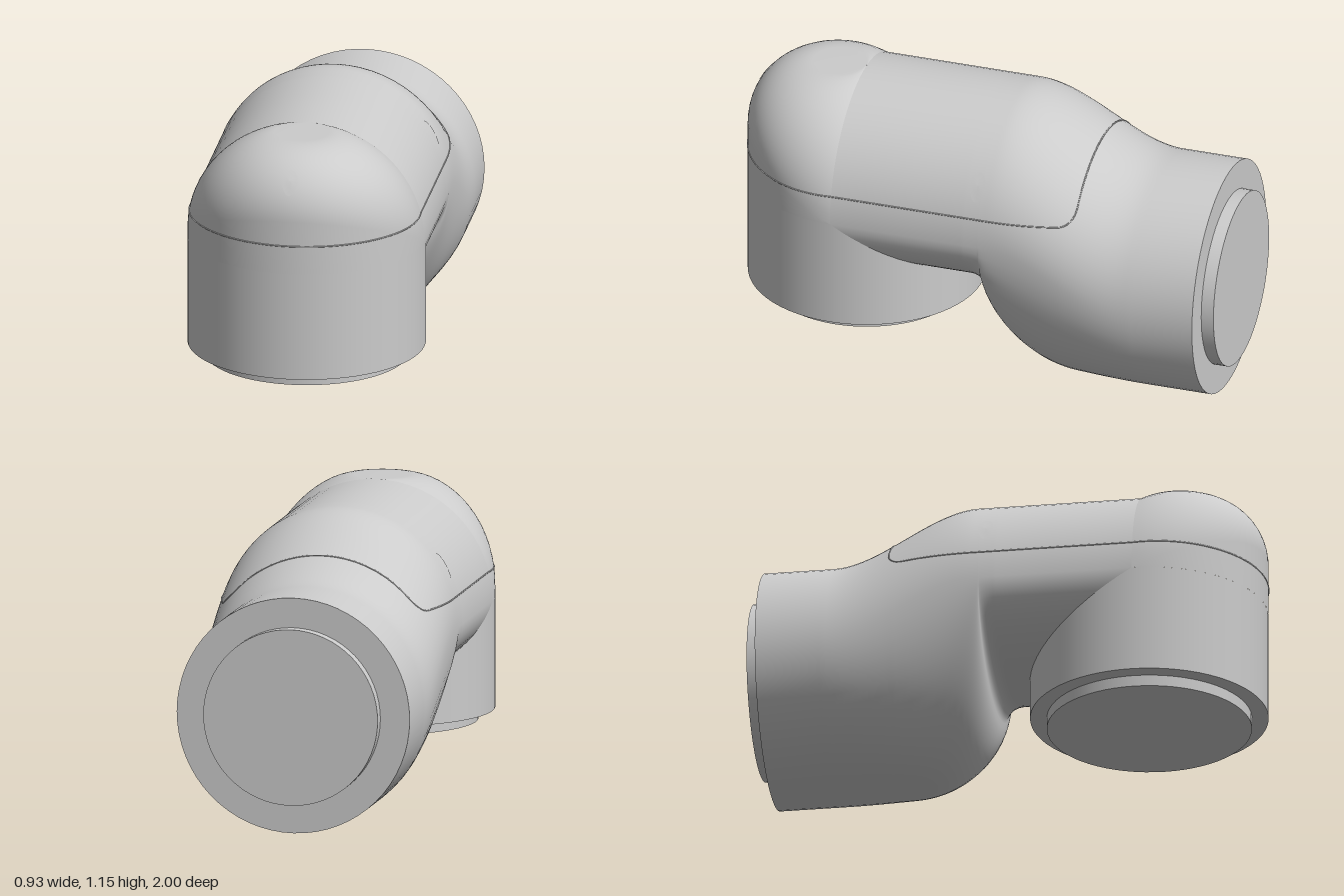
import * as THREE from 'three';

const R = 0.465;          // main pipe radius
const CZ = 0.535;         // axis of the vertical socket
const TOP = 1.15;
const material = new THREE.MeshStandardMaterial({ color: 0xcccccc });

// Side outline of the horizontal pipe
const midY = z => R + (TOP - 2 * R) * THREE.MathUtils.smoothstep(z, -0.68, -0.1);
function bottomY(z) {
  if (z <= -0.4) return 0;
  if (z <= -0.07) return 0.33 - Math.sqrt(Math.max(0, 0.33 ** 2 - (z + 0.4) ** 2));
  return z < 0 ? 0.33 + 0.08 * Math.sqrt(Math.max(0, 1 - (z / 0.07) ** 2)) : 0.41;
}

// Rounding of the front dome: wide at the sides, tighter at the nose
const domeRadius = a => THREE.MathUtils.lerp(R, 0.25, Math.abs(Math.sin(a)));

// Height of the upper surface above a plan position
function surfaceY(x, z) {
  if (z <= CZ) return midY(z) + Math.sqrt(Math.max(0, R * R - x * x));
  const f = domeRadius(Math.atan2(z - CZ, x));
  const d = Math.max(0, Math.hypot(x, z - CZ) - R + f);
  return TOP - f + Math.sqrt(Math.max(0, f * f - d * d));
}

// Smooth surface through rows of points
function grid(rows, wrap = false) {
  const n = rows[0].length, index = [];
  for (let i = 0; i < rows.length - 1; i++)
    for (let j = 0; j < (wrap ? n : n - 1); j++) {
      const k = (j + 1) % n;
      const a = i * n + j, b = i * n + k, c = a + n, d = b + n;
      index.push(a, b, c, b, d, c);
    }
  const g = new THREE.BufferGeometry();
  g.setAttribute('position', new THREE.Float32BufferAttribute(rows.flat(2), 3));
  g.setIndex(index);
  g.computeVertexNormals();
  return g;
}

const range = (n, f) => Array.from({ length: n + 1 }, (_, i) => f(i / n));

export function createModel() {
  const group = new THREE.Group();
  const add = (name, geometry, x = 0, y = 0, z = 0) => {
    const mesh = new THREE.Mesh(geometry, material);
    mesh.name = name;
    mesh.position.set(x, y, z);
    group.add(mesh);
    return mesh;
  };

  // Horizontal pipe, rising into the hood over a notched underside
  const stations = [
    -0.95,
    ...range(10, t => -0.7 + 0.28 * t),
    ...range(20, t => -0.4 + 0.33 * Math.sin(t * Math.PI / 2)),
    ...range(8, t => -0.07 * Math.cos(t * Math.PI / 2)).slice(1),
    0.2, 0.4, CZ
  ];
  const N = 64;
  add('horizontalPipe', grid(stations.map(z => {
    const m = midY(z), low = m - bottomY(z);
    return range(N - 1, t => {
      const a = t * (N - 1) / N * Math.PI * 2, s = Math.sin(a);
      return [R * Math.cos(a), m + s * (s > 0 ? R : low), z];
    });
  }), true));

  // Rounded front of the hood
  const domeRows = [0, ...range(16, t => t), 2].map((t, i) => range(48, u => {
    const a = u * Math.PI, f = domeRadius(a);
    let r = R, y = TOP - R;
    if (i === 0) { r = 0; y = TOP; }
    else if (t <= 1) {
      r = R - f + f * Math.sin(t * Math.PI / 2);
      y = TOP - f + f * Math.cos(t * Math.PI / 2);
    }
    return [r * Math.cos(a), y, CZ + r * Math.sin(a)];
  }));
  add('hoodFront', grid(domeRows));

  // Vertical socket and its recessed plug
  const socketHeight = TOP - R - 0.25;
  add('verticalSocket', new THREE.CylinderGeometry(R, R, socketHeight, 64), 0, 0.25 + socketHeight / 2, CZ);
  add('bottomPlug', new THREE.CylinderGeometry(0.4, 0.4, 0.06, 64), 0, 0.235, CZ);

  // Rear face and plug
  add('rearFace', new THREE.CircleGeometry(R, 64), 0, R, -0.95).rotation.y = Math.PI;
  add('rearPlug', new THREE.CylinderGeometry(0.348, 0.348, 0.06, 64), 0, R, -0.97).rotation.x = Math.PI / 2;

  // Flush screw covers that follow the hood
  for (const [name, x, z] of [['frontScrew', 0, 0.95], ['leftScrew', 0.4, -0.05], ['rightScrew', -0.4, -0.05]])
    add(name, grid([0, 0.015, 0.03].map(r => range(24, t => {
      const px = x + r * Math.cos(t * Math.PI * 2), pz = z + r * Math.sin(t * Math.PI * 2);
      return [px, surfaceY(px, pz) + 0.003, pz];
    }))));

  // Fine parting line around the hood cover
  const half = [];
  const sidePoint = (y, z) => half.push(new THREE.Vector3(Math.sqrt(R * R - (y - midY(z)) ** 2), y, z));
  for (let i = 0; i < 8; i++) {
    const x = i * 0.04;
    half.push(new THREE.Vector3(x, surfaceY(x, -0.44), -0.44));
  }
  for (const t of range(6, v => v * Math.PI / 2))
    sidePoint(0.86 - 0.06 * Math.sin(t), -0.38 - 0.06 * Math.cos(t));
  for (const z of range(12, t => -0.34 + t * (CZ + 0.34))) sidePoint(0.8, z);
  for (const a of range(20, t => t * Math.PI / 2).slice(1)) {
    const f = domeRadius(a), d = Math.max(0, 0.8 - TOP + f);
    const r = R - f + Math.sqrt(f * f - d * d);
    half.push(new THREE.Vector3(r * Math.cos(a), 0.8, CZ + r * Math.sin(a)));
  }
  const mirrored = half.slice(1, -1).reverse().map(p => new THREE.Vector3(-p.x, p.y, p.z));
  const seam = new THREE.CatmullRomCurve3([...half, ...mirrored], true);
  add('coverSeam', new THREE.TubeGeometry(seam, 260, 0.003, 5, true));

  return group;
}
